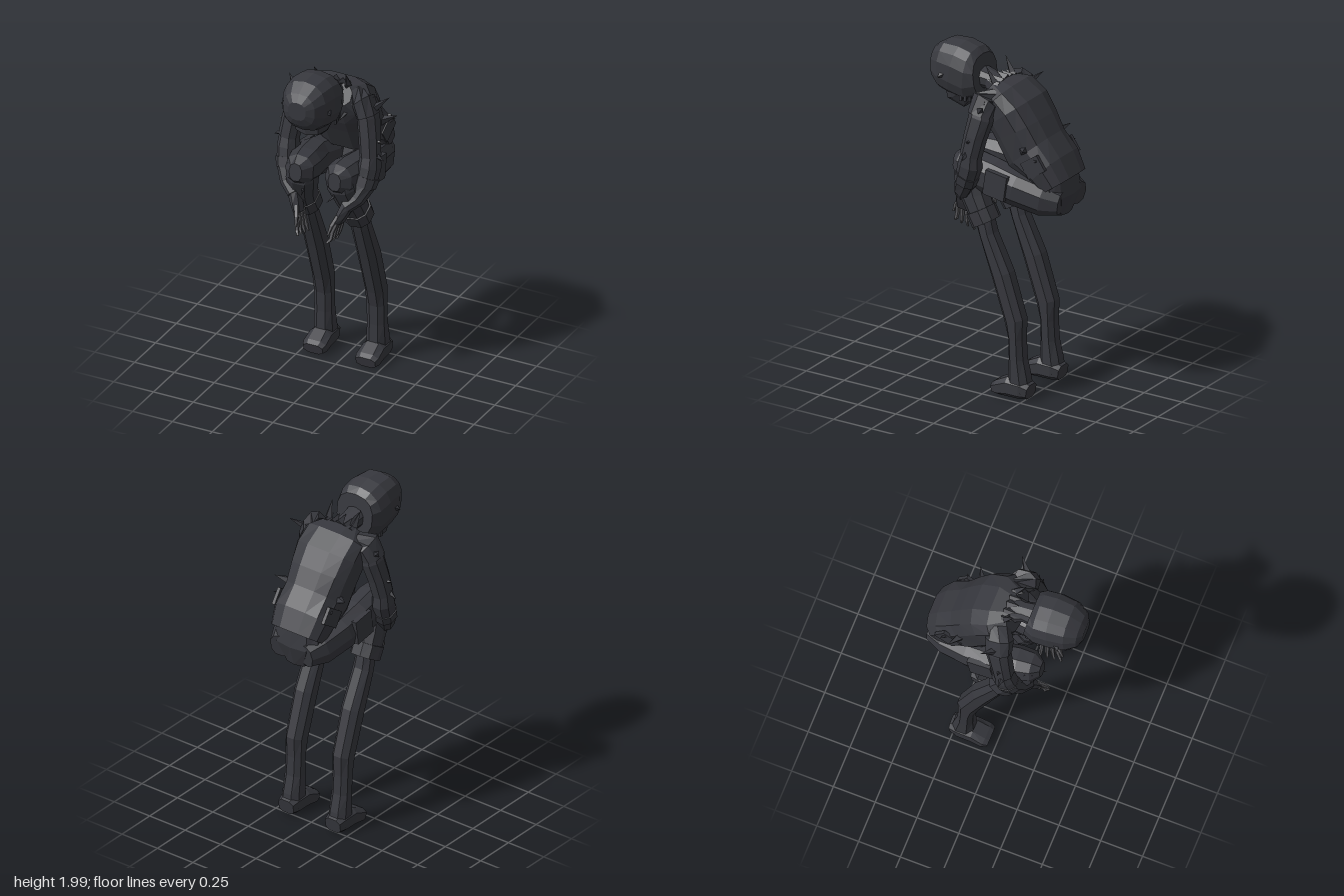
import * as THREE from 'three';

const mat = (name, color) => {
  const m = new THREE.MeshStandardMaterial({ color, flatShading: true, side: THREE.DoubleSide });
  m.name = name;
  return m;
};

export function createModel() {
  const root = new THREE.Group();
  root.name = 'crouchingFigure';
  const cloth = mat('charcoal cloth', 0x37383e);
  const bone = mat('grey bone', 0x5c5c60);

  const add = (name, geo, material = cloth) => {
    const m = new THREE.Mesh(geo, material);
    m.name = name;
    root.add(m);
    return m;
  };

  // Faceted skin over oval sections [x, y, z, halfWidth, halfDepth]; power < 1 is boxier
  function loft(name, secs, { sides = 10, power = 0.85, material = cloth } = {}) {
    const c = secs.map(s => new THREE.Vector3(s[0], s[1], s[2]));
    const pos = [], idx = [], n = secs.length;
    const bend = v => Math.sign(v) * Math.pow(Math.abs(v), power);
    c.forEach((p, k) => {
      const t = c[Math.min(k + 1, n - 1)].clone().sub(c[Math.max(k - 1, 0)]).normalize();
      const u = new THREE.Vector3(1, 0, 0).addScaledVector(t, -t.x).normalize();
      const v = t.clone().cross(u);
      for (let i = 0; i < sides; i++) {
        const a = (i + 0.5) / sides * Math.PI * 2;
        const q = p.clone().addScaledVector(u, bend(Math.cos(a)) * secs[k][3])
          .addScaledVector(v, bend(Math.sin(a)) * secs[k][4]);
        pos.push(q.x, q.y, q.z);
      }
    });
    for (let k = 0; k < n - 1; k++) for (let i = 0; i < sides; i++) {
      const j = (i + 1) % sides, a = k * sides, b = a + sides;
      idx.push(a + i, a + j, b + j, a + i, b + j, b + i);
    }
    // End caps
    for (let i = 1; i < sides - 1; i++) {
      const e = (n - 1) * sides;
      idx.push(0, i + 1, i, e, e + i, e + i + 1);
    }
    const g = new THREE.BufferGeometry();
    g.setAttribute('position', new THREE.Float32BufferAttribute(pos, 3));
    g.setIndex(idx);
    const flat = g.toNonIndexed();
    flat.computeVertexNormals();
    return add(name, flat, material);
  }

  // Four-sided thorn from a base point to its tip
  function spike(name, from, to, r = 0.022) {
    const a = new THREE.Vector3(...from), d = new THREE.Vector3(...to).sub(a);
    const m = add(name, new THREE.ConeGeometry(r, d.length(), 4));
    m.position.copy(a).addScaledVector(d, 0.5);
    m.quaternion.setFromUnitVectors(new THREE.Vector3(0, 1, 0), d.normalize());
  }

  function box(name, size, at, rotX = 0) {
    const m = add(name, new THREE.BoxGeometry(...size));
    m.position.set(...at);
    m.rotation.x = rotX;
  }

  // Bowed head with jaw and teeth
  loft('head', [
    [0, 1.85, 0.464, 0.055, 0.055], [0, 1.85, 0.44, 0.1, 0.1], [0, 1.847, 0.38, 0.136, 0.147],
    [0, 1.838, 0.29, 0.149, 0.162], [0, 1.818, 0.2, 0.147, 0.16], [0, 1.825, 0.14, 0.125, 0.12],
  ], { sides: 14, power: 0.8 });
  loft('jaw', [[0, 1.75, 0.255, 0.125, 0.12], [0, 1.695, 0.26, 0.108, 0.11], [0, 1.655, 0.215, 0.075, 0.062]]);
  for (const s of [-1, 1]) for (let i = 0; i < 4; i++)
    box('tooth', [0.012, 0.03, 0.016], [s * (0.1 + i * 0.006), 1.7, 0.15 + i * 0.025]);

  // Neck and hunched torso
  loft('neck', [[0, 1.81, 0.18, 0.07, 0.065], [0, 1.8, 0.1, 0.058, 0.055], [0, 1.76, 0, 0.085, 0.07]]);
  loft('jacket', [
    [0, 1.775, 0.055, 0.13, 0.07], [0, 1.735, -0.01, 0.2, 0.118], [0, 1.668, -0.075, 0.205, 0.145],
    [0, 1.58, -0.132, 0.195, 0.15], [0, 1.458, -0.2, 0.182, 0.158], [0, 1.375, -0.315, 0.184, 0.122],
    [0, 1.29, -0.375, 0.165, 0.102],
  ], { sides: 12, power: 0.72 });
  loft('pelvis', [
    [0, 1.34, -0.33, 0.15, 0.1], [0, 1.23, -0.36, 0.16, 0.085], [0, 1.12, -0.34, 0.09, 0.07],
  ]);
  loft('waistPouch', [[0, 1.29, -0.25, 0.08, 0.08], [0, 1.2, -0.2, 0.06, 0.07], [0, 1.12, -0.22, 0.05, 0.05]]);

  // Pointed collar
  for (let i = -2; i <= 2; i++) {
    const x = i * 0.042;
    spike('collarPoint', [x, 1.83 - Math.abs(i) * 0.01, 0], [x * 1.05, 1.86 - Math.abs(i) * 0.01, 0.065], 0.028);
  }

  for (const s of [-1, 1]) {
    const side = secs => secs.map(([x, ...r]) => [s * x, ...r]);
    const at = (x, y, z) => [s * x, y, z];

    // Bent leg: thigh, trouser shin, cuff, boot
    loft('thigh', side([
      [0.09, 1.2, -0.42, 0.06, 0.07], [0.108, 1.215, -0.32, 0.09, 0.1], [0.135, 1.255, -0.16, 0.095, 0.105],
      [0.146, 1.29, -0.02, 0.094, 0.11], [0.13, 1.31, 0.12, 0.1, 0.105], [0.122, 1.32, 0.2, 0.088, 0.09],
      [0.122, 1.325, 0.25, 0.04, 0.055]]), { sides: 9 });
    loft('trouserShin', side([
      [0.125, 1.36, 0.175, 0.08, 0.06], [0.13, 1.27, 0.15, 0.092, 0.09],
      [0.152, 1.15, 0.1, 0.08, 0.082], [0.162, 1.05, 0.045, 0.075, 0.075]]), { sides: 9 });
    loft('cuff', side([[0.16, 1.085, 0.065, 0.085, 0.085], [0.162, 1.015, 0.026, 0.085, 0.083]]), { sides: 9 });
    loft('boot', side([
      [0.165, 1.04, 0.035, 0.055, 0.055], [0.165, 0.95, 0.008, 0.06, 0.052], [0.165, 0.73, -0.085, 0.064, 0.066],
      [0.165, 0.47, -0.17, 0.06, 0.065], [0.165, 0.36, -0.18, 0.058, 0.048], [0.165, 0.24, -0.185, 0.058, 0.05],
      [0.165, 0.13, -0.195, 0.062, 0.066], [0.165, 0.05, -0.205, 0.066, 0.066]]), { sides: 8 });
    loft('foot', side([
      [0.165, 0.06, -0.268, 0.055, 0.045], [0.165, 0.068, -0.22, 0.068, 0.06], [0.165, 0.07, -0.14, 0.07, 0.062],
      [0.165, 0.052, -0.07, 0.074, 0.044], [0.165, 0.045, -0.042, 0.064, 0.033]]), { sides: 8, power: 0.7 });

    // Pockets
    box('thighPocket', [0.03, 0.15, 0.14], at(0.226, 1.28, -0.075), -0.15);
    box('jacketPocket', [0.02, 0.1, 0.13], at(0.175, 1.42, -0.29), 0.6);

    // Arm resting beside the knee
    loft('shoulder', side([
      [0.13, 1.755, 0, 0.06, 0.06], [0.185, 1.75, 0.02, 0.065, 0.08], [0.22, 1.67, 0.03, 0.062, 0.075]]), { sides: 8 });
    loft('upperArm', side([
      [0.19, 1.76, 0.02, 0.05, 0.06], [0.22, 1.66, 0.025, 0.06, 0.073],
      [0.24, 1.55, 0.05, 0.06, 0.066], [0.255, 1.44, 0.07, 0.058, 0.062]]), { sides: 8 });
    loft('forearm', side([
      [0.255, 1.47, 0.065, 0.052, 0.052], [0.255, 1.38, 0.075, 0.062, 0.07], [0.248, 1.28, 0.105, 0.057, 0.064],
      [0.212, 1.2, 0.15, 0.05, 0.05], [0.16, 1.15, 0.185, 0.04, 0.04]]), { sides: 8 });
    loft('sleeveBand', side([[0.252, 1.32, 0.092, 0.065, 0.07], [0.243, 1.265, 0.113, 0.061, 0.066]]), { sides: 8 });
    loft('palm', side([
      [0.175, 1.17, 0.175, 0.035, 0.035], [0.145, 1.1, 0.19, 0.03, 0.05], [0.125, 1.05, 0.2, 0.022, 0.055]]), { sides: 6 });

    // Bony fingers
    for (let i = 0; i < 4; i++) {
      const z = 0.154 + i * 0.028, f = i / 3;
      const tip = 0.915 + 0.03 * f;
      loft('finger', side([
        [0.127, 1.06, z, 0.014, 0.013], [0.118 - 0.008 * f, 1.01, z + 0.012 * f, 0.013, 0.012],
        [0.106, 0.965, z + 0.024 * f, 0.012, 0.011], [0.09, tip, z + 0.042 * f, 0.006, 0.006]]),
      { sides: 5, material: bone });
    }
    loft('thumb', side([
      [0.13, 1.1, 0.225, 0.013, 0.013], [0.11, 1.05, 0.262, 0.012, 0.012], [0.1, 1.0, 0.285, 0.006, 0.006]]),
    { sides: 5, material: bone });

    // Thorns on shoulder, arm, hip, knee and head
    spike('shoulderSpike', at(0.23, 1.7, 0.03), at(0.315, 1.77, -0.045), 0.03);
    spike('armSpike', at(0.27, 1.53, 0.06), at(0.325, 1.54, 0.06));
    spike('elbowSpike', at(0.27, 1.47, 0.08), at(0.345, 1.43, 0.075), 0.03);
    spike('kneeThorn', at(0.1, 1.21, 0.19), at(0.08, 1.19, 0.265), 0.012);
    spike('backSpike', at(0.165, 1.5, -0.22), at(0.25, 1.53, -0.265), 0.03);
    spike('sideThorn', at(0.16, 1.45, -0.28), at(0.205, 1.47, -0.33));
    spike('chestThorn', at(0.1, 1.68, 0.03), at(0.08, 1.64, 0.12));
    spike('neckSpike', at(0.09, 1.83, 0.02), at(0.1, 1.92, 0.07));
    spike('headThorn', at(0.13, 1.82, 0.34), at(0.158, 1.81, 0.355));
  }
  return root;
}
